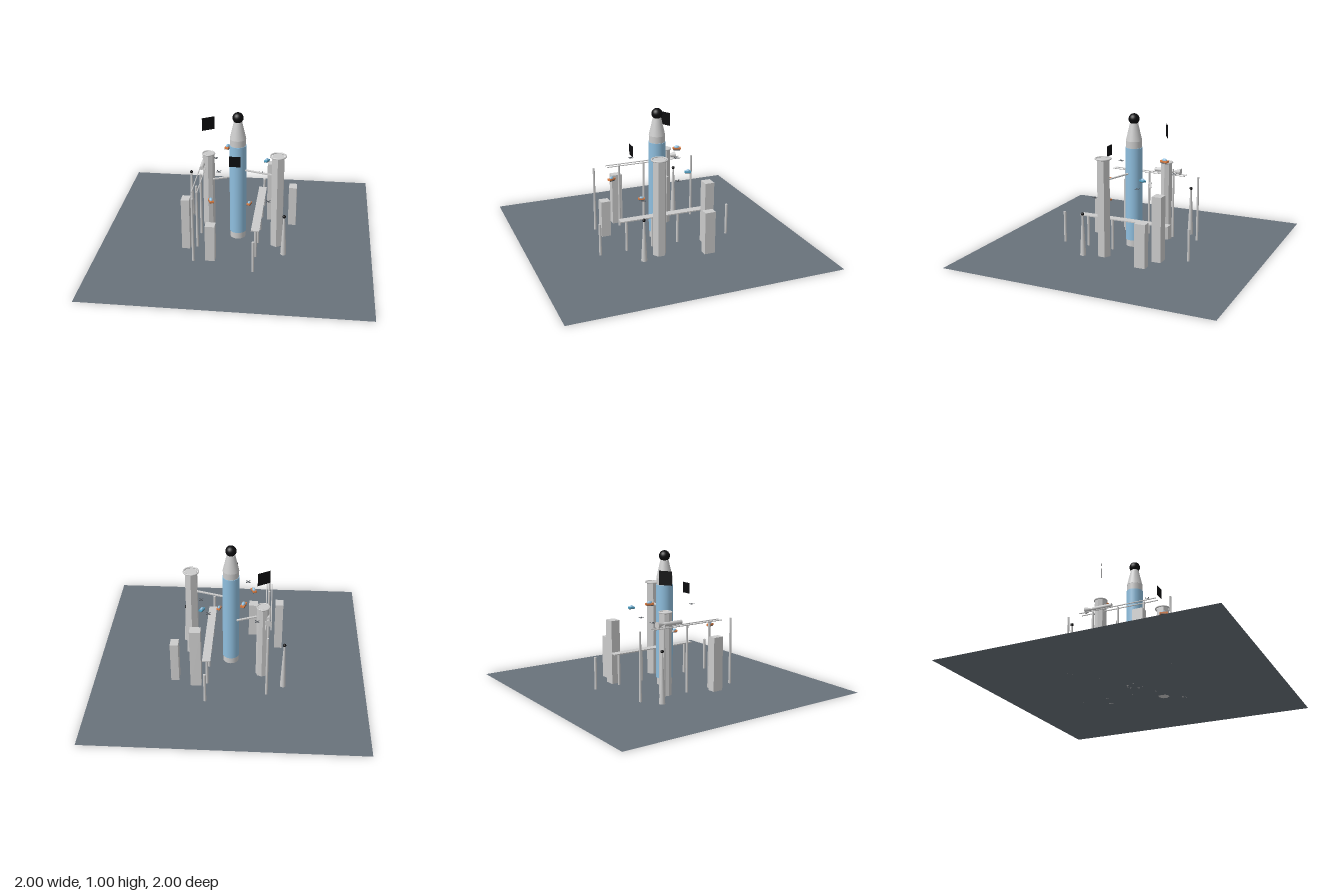
import * as THREE from 'three';

const mat = (color, extra = {}) => new THREE.MeshStandardMaterial({ color, ...extra });
const grey = mat(0xcccccc);
const facet = mat(0xcccccc, { flatShading: true });
const glass = mat(0x8fbfdf);
const black = mat(0x0c0c0e);
const screen = mat(0x0c0c0e, { side: THREE.DoubleSide });
const dark = mat(0x555a60);
const orange = mat(0xe08045);
const teal = mat(0x4fa3c8);

export function createModel() {
  const root = new THREE.Group();

  function add(name, geo, material, x, y, z, parent = root) {
    const m = new THREE.Mesh(geo, material);
    m.name = name;
    m.position.set(x, y, z);
    parent.add(m);
    return m;
  }
  // Upright solid whose base sits at height y
  const column = (name, rTop, rBot, h, x, y, z, material = grey, sides = 24, parent = root) =>
    add(name, new THREE.CylinderGeometry(rTop, rBot, h, sides), material, x, y + h / 2, z, parent);
  const box = (name, w, h, d, x, y, z, material = grey, parent = root) =>
    add(name, new THREE.BoxGeometry(w, h, d), material, x, y, z, parent);

  function group(name, x = 0, y = 0, z = 0) {
    const g = new THREE.Group();
    g.name = name;
    g.position.set(x, y, z);
    root.add(g);
    return g;
  }

  // Ground
  add('ground', new THREE.PlaneGeometry(2, 2), mat(0x69727b, { side: THREE.DoubleSide }), 0, 0, 0)
    .rotation.x = -Math.PI / 2;

  // Central tower: core, glass sleeve, tapered crown and dark globe
  const tower = group('centralTower');
  column('core', 0.058, 0.058, 0.8, 0, 0, 0, grey, 24, tower);
  column('glassSleeve', 0.062, 0.062, 0.7, 0, 0.05, 0, glass, 24, tower);
  column('crown', 0.03, 0.06, 0.13, 0, 0.8, 0, grey, 24, tower);
  add('globe', new THREE.SphereGeometry(0.04, 24, 16), black, 0, 0.96, 0, tower);

  // Faceted side towers with roof rings
  for (const [x, z, h, r, ringR, sides] of [
    [0.3, 0.1, 0.72, 0.05, 0.055, 6],
    [-0.24, -0.16, 0.6, 0.045, 0.044, 8],
  ]) {
    column('sideTower', r, r, h, x, 0, z, facet, sides);
    add('roofRing', new THREE.TorusGeometry(ringR, 0.006, 8, 32), grey, x, h, z).rotation.x = Math.PI / 2;
  }

  // Block buildings: x, z, width, depth, height
  for (const [x, z, w, d, h] of [
    [0.24, -0.3, 0.08, 0.07, 0.48],
    [0.4, -0.24, 0.06, 0.08, 0.32],
    [-0.36, 0.2, 0.06, 0.08, 0.4],
    [-0.16, 0.36, 0.07, 0.07, 0.28],
  ]) box('blockBuilding', w, h, d, x, h / 2, z);

  // Tapered spires with dark tips
  for (const [x, z, h] of [[-0.4, -0.3, 0.37], [0.36, 0.24, 0.31]]) {
    column('spire', 0.006, 0.022, h, x, 0, z, grey, 16);
    add('spireTip', new THREE.SphereGeometry(0.012, 16, 12), black, x, h, z);
  }

  // Elevated walkway and its posts
  box('walkway', 0.06, 0.008, 0.7, 0.16, 0.24, 0);
  for (const z of [-0.5, -0.3, -0.1, 0.1, 0.3, 0.5]) column('walkwayPost', 0.01, 0.01, 0.24, 0.16, 0, z, grey, 8);

  // Twin rails on tall posts
  for (const z of [-0.4, -0.2, 0, 0.2, 0.4]) column('railPost', 0.008, 0.01, 0.5, -0.28, 0, z, grey, 8);
  for (const x of [-0.3, -0.26]) {
    add('rail', new THREE.CylinderGeometry(0.004, 0.004, 0.6, 8), grey, x, 0.5, 0).rotation.x = Math.PI / 2;
  }

  // Train on the rails, with a flared cone at the rear end
  const train = group('train', -0.28, 0.525, 0);
  add('trainBody', new THREE.CylinderGeometry(0.015, 0.015, 0.15, 16), grey, 0, 0, -0.125, train)
    .rotation.x = Math.PI / 2;
  add('trainCone', new THREE.ConeGeometry(0.025, 0.07, 16), grey, 0, 0, -0.225, train)
    .rotation.x = Math.PI / 2;

  // Sky bridges: centre, length and heading
  for (const [x, y, z, length, turn] of [
    [0.15, 0.56, 0.05, 0.24, -0.29],
    [-0.12, 0.44, -0.08, 0.155, 0.38],
  ]) box('skyBridge', length, 0.008, 0.016, x, y, z).rotation.y = turn;

  // Floating display panels
  add('displayPanel', new THREE.PlaneGeometry(0.1, 0.1), screen, -0.24, 0.84, -0.16).rotation.y = Math.PI / 6;
  add('displayPanel', new THREE.PlaneGeometry(0.08, 0.08), screen, 0, 0.705, 0.2);

  // Flying cars: tapered hull with a rounded cabin
  for (const [x, y, z, turn, size, paint] of [
    [-0.1, 0.645, -0.2, -0.3, 1, orange],
    [0.2, 0.565, -0.16, -0.45, 0.8, teal],
    [0.1, 0.365, 0.16, -0.3, 0.8, orange],
    [-0.16, 0.445, 0.3, 0.4, 0.95, orange],
  ]) {
    const car = group('flyingCar', x, y, z);
    car.rotation.y = turn;
    car.scale.setScalar(size);
    box('hull', 0.03, 0.014, 0.06, 0, -0.004, 0, paint, car);
    const cabin = add('cabin', new THREE.SphereGeometry(1, 16, 8, 0, Math.PI * 2, 0, Math.PI / 2), glass, 0, 0.003, 0, car);
    cabin.scale.set(0.013, 0.016, 0.02);
    for (const s of [-1, 1]) box('skid', 0.006, 0.006, 0.05, s * 0.012, -0.013, 0, dark, car);
  }

  // Four-rotor drones
  for (const [x, y, z] of [
    [-0.2, 0.525, -0.24],
    [-0.12, 0.605, 0.16],
    [0.16, 0.485, -0.1],
    [0.24, 0.405, 0.2],
  ]) {
    const drone = group('drone', x, y, z);
    box('droneBody', 0.01, 0.006, 0.01, 0, 0, 0, dark, drone);
    for (const s of [-1, 1]) {
      box('droneArm', 0.034, 0.002, 0.003, 0, 0, 0, dark, drone).rotation.y = s * Math.PI / 4;
      for (const t of [-1, 1]) column('rotor', 0.005, 0.005, 0.002, s * 0.012, 0.001, t * 0.012, dark, 8, drone);
    }
  }

  return root;
}
